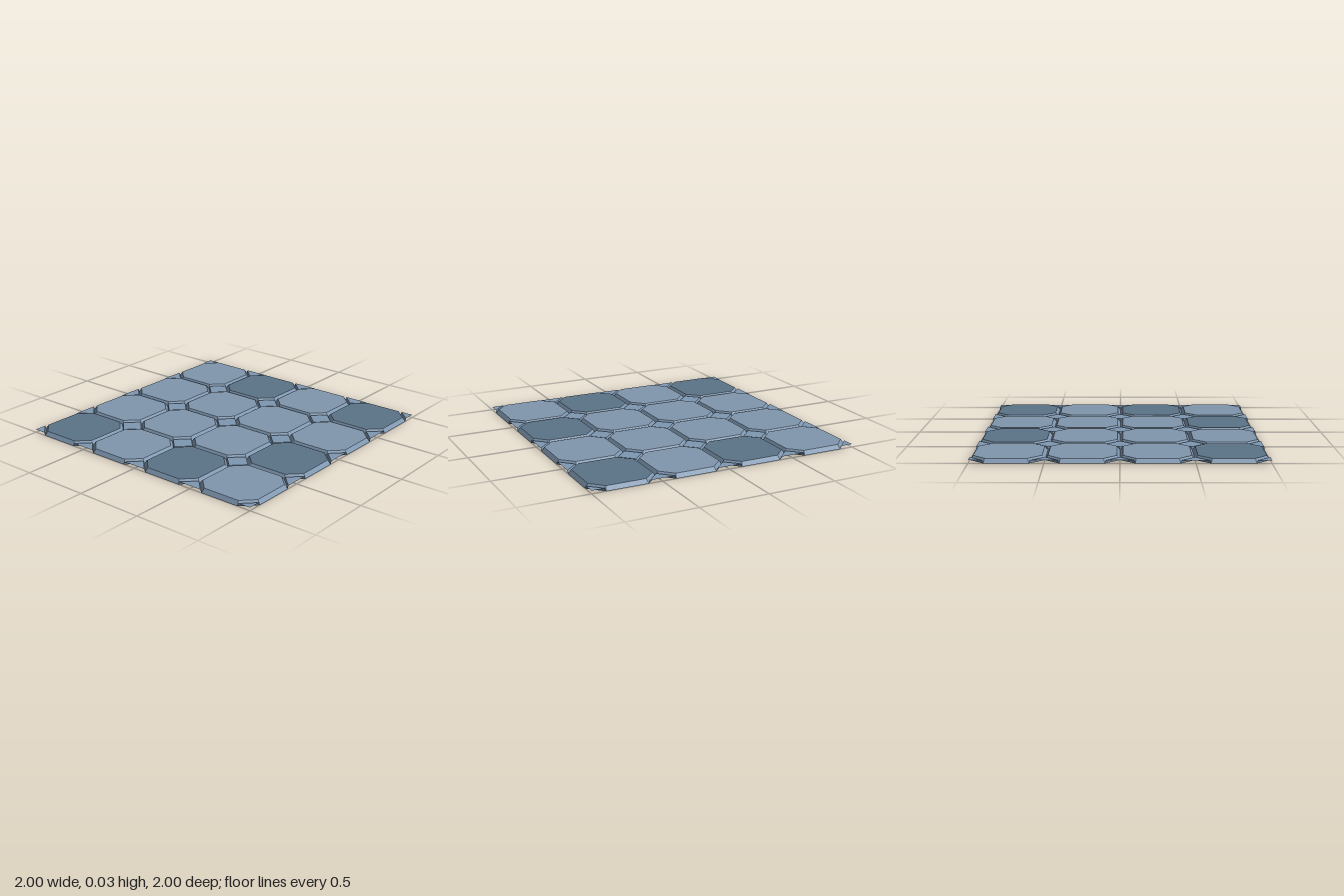
import * as THREE from 'three';

const TILE = 0.5, HALF = TILE / 2;
const TOP = 0.03;        // height of the octagon faces
const INSERT = 0.022;    // height of the small diamond inserts
const CUT = 0.1;         // corner cut of each octagon
const BEVEL = 0.02;

// Polygons (corner lists, counter-clockwise from outside) to a flat shaded geometry
function polygons(list) {
  const pos = [];
  for (const p of list) {
    for (let i = 1; i < p.length - 1; i++) pos.push(...p[0], ...p[i], ...p[i + 1]);
  }
  const g = new THREE.BufferGeometry();
  g.setAttribute('position', new THREE.Float32BufferAttribute(pos, 3));
  g.computeVertexNormals();
  return g;
}

// Quarter turns of a point about the y axis
function turn([x, y, z], k) {
  for (let i = 0; i < k; i++) [x, z] = [z, -x];
  return [x, y, z];
}

// Octagon ring with half width h and half edge length e
function octagon(h, e, y) {
  const ring = [];
  for (let k = 0; k < 4; k++) ring.push(turn([h, y, e], k), turn([h, y, -e], k));
  return ring;
}

export function createModel() {
  const material = (name, color) => {
    const m = new THREE.MeshStandardMaterial({ color, side: THREE.DoubleSide, flatShading: true });
    m.name = name;
    return m;
  };
  const light = material('light slate', 0x8096ae);
  const dark = material('dark slate', 0x5b7489);
  const trim = material('blue trim', 0x7f98b3);

  // Octagon face and its sloping rim
  const edge = HALF - CUT;
  const outer = octagon(HALF, edge, 0);
  const inner = octagon(HALF - BEVEL, edge - BEVEL * Math.tan(Math.PI / 8), TOP);
  const faceGeo = polygons([inner]);
  const rimGeo = polygons(outer.map((a, i) => {
    const j = (i + 1) % 8;
    return [a, outer[j], inner[j], inner[i]];
  }));

  // Quarter of a diamond insert in each corner; neighbours complete it
  const r = CUT - 0.008, quarters = [];
  for (let k = 0; k < 4; k++) {
    const p0 = [HALF - CUT, 0, -HALF], q0 = [HALF, 0, CUT - HALF];
    const p1 = [HALF - r, INSERT, -HALF], q1 = [HALF, INSERT, r - HALF];
    const corner = [HALF, INSERT, -HALF];
    quarters.push([corner, p1, q1].map(v => turn(v, k)));
    quarters.push([p0, q0, q1, p1].map(v => turn(v, k)));
  }
  const insertGeo = polygons(quarters);

  // Rows run from back to front; D marks a dark tile
  const layout = ['LDLD', 'LLLL', 'LLLD', 'DLDL'];
  const model = new THREE.Group();
  model.name = 'tiledFloor';
  layout.forEach((row, j) => [...row].forEach((c, i) => {
    const tile = new THREE.Group();
    tile.name = 'tile';
    const add = (name, geo, mat) => {
      const m = new THREE.Mesh(geo, mat);
      m.name = name;
      tile.add(m);
    };
    add('tileFace', faceGeo, c === 'D' ? dark : light);
    add('tileRim', rimGeo, trim);
    add('cornerInserts', insertGeo, trim);
    tile.position.set((i - 1.5) * TILE, 0, (j - 1.5) * TILE);
    model.add(tile);
  }));
  return model;
}
